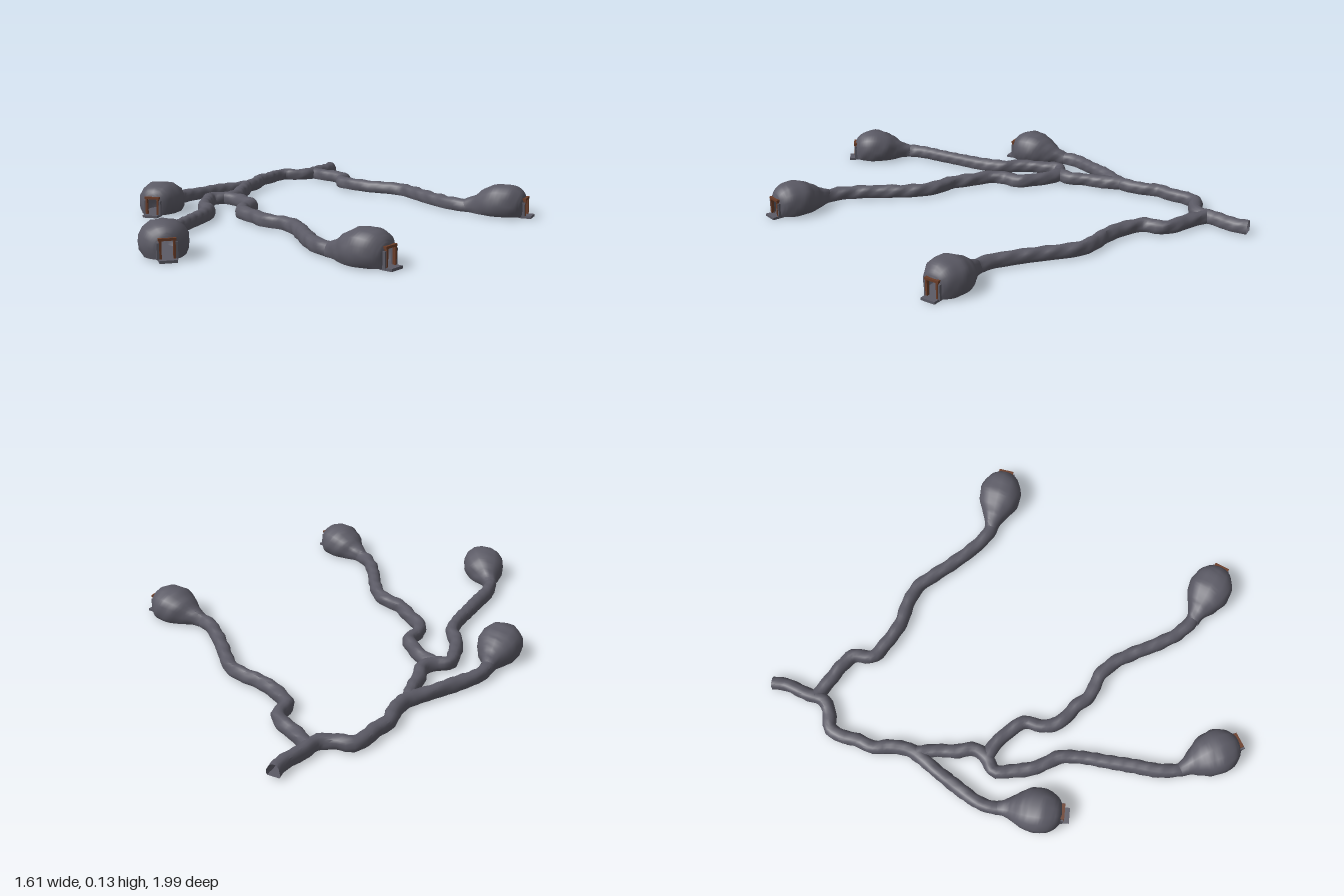
import * as THREE from 'three';
import { toCreasedNormals } from 'three/addons/utils/BufferGeometryUtils.js';

const rock = new THREE.MeshStandardMaterial({ color: 0x5b5a65, side: THREE.DoubleSide });
const wood = new THREE.MeshStandardMaterial({ color: 0x6b3d28 });

// Flat-bottomed arch section in units of half width and height
const half = [[0.84, 0], [0.97, 0.16], [1, 0.36], [0.95, 0.58], [0.8, 0.79], [0.47, 0.95]];
const arch = [...half, [0, 1], ...half.slice().reverse().map(([x, y]) => [-x, y])];
const FLOOR = 0.006;

// Small rocky unevenness
const rough = (x, y, z) =>
  Math.sin(x * 71 + z * 43 + y * 60) * 0.5 + Math.sin(z * 97 - x * 59 + y * 110) * 0.5;

// Skin arch sections along stations { x, z, dx, dz, w, h }
function loft(stations, bump) {
  const pos = [], index = [], n = arch.length;
  for (const s of stations) {
    for (const [u, v] of arch) {
      const x = s.x + s.dz * s.w * u, z = s.z - s.dx * s.w * u, y = s.h * v;
      const k = rough(x, y, z) * bump;
      pos.push(x + s.dz * u * k, FLOOR + y + v * k, z - s.dx * u * k);
    }
  }
  for (let i = 0; i < stations.length - 1; i++) {
    for (let j = 0; j < n; j++) {
      const a = i * n + j, b = i * n + (j + 1) % n;
      index.push(a, b, a + n, b, b + n, a + n);
    }
  }
  const g = new THREE.BufferGeometry();
  g.setAttribute('position', new THREE.Float32BufferAttribute(pos, 3));
  g.setIndex(index);
  return toCreasedNormals(g, 0.8);
}

function tunnel(name, points) {
  const curve = new THREE.CatmullRomCurve3(points.map(([x, z]) => new THREE.Vector3(x, 0, z)));
  const count = Math.round(curve.getLength() / 0.018);
  const stations = [];
  for (let i = 0; i <= count; i++) {
    const p = curve.getPointAt(i / count), t = curve.getTangentAt(i / count);
    stations.push({ x: p.x, z: p.z, dx: t.x, dz: t.z, w: 0.027, h: 0.049 });
  }
  const mesh = new THREE.Mesh(loft(stations, 0.003), rock);
  mesh.name = name;
  return mesh;
}

// Chamber outline along its axis: distance, half width, height
const swell = new THREE.CatmullRomCurve3([
  [-0.165, 0.027, 0.05], [-0.125, 0.037, 0.066], [-0.085, 0.063, 0.094], [-0.045, 0.083, 0.115],
  [0, 0.089, 0.124], [0.04, 0.081, 0.12], [0.07, 0.062, 0.107], [0.086, 0.042, 0.09], [0.092, 0.027, 0.074],
].map(p => new THREE.Vector3(...p)));

function chamber(name, cx, cz, dx, dz) {
  const group = new THREE.Group();
  group.name = name;
  const stations = swell.getPoints(26).map(p => (
    { x: cx + dx * p.x, z: cz + dz * p.x, dx, dz, w: p.y, h: p.z }));
  const dome = new THREE.Mesh(loft(stations, 0.003), rock);
  dome.name = 'dome';
  group.add(dome);

  // Doorway, facing +z before being turned to the chamber axis
  const door = new THREE.Group();
  door.name = 'doorway';
  const box = (part, w, h, d, x, y, z, mat) => {
    const m = new THREE.Mesh(new THREE.BoxGeometry(w, h, d), mat);
    m.position.set(x, y, z);
    m.name = part;
    door.add(m);
  };
  for (const side of [-1, 1]) {
    box('doorPost', 0.008, 0.066, 0.012, side * 0.024, 0.043, 0.094, wood);
    box('doorJamb', 0.01, 0.06, 0.02, side * 0.031, 0.036, 0.088, rock);
  }
  box('lintel', 0.062, 0.009, 0.014, 0, 0.077, 0.094, wood);
  box('doorstep', 0.062, 0.01, 0.05, 0, 0.005, 0.098, rock);
  door.position.set(cx, 0, cz);
  door.rotation.y = Math.atan2(dx, dz);
  group.add(door);
  return group;
}

export function createModel() {
  const model = new THREE.Group();
  model.name = 'burrow';

  // Branching passages, as x and z of the centre line
  model.add(
    tunnel('mainTunnel', [
      [0.06, -0.99], [0.04, -0.935], [-0.02, -0.86], [-0.06, -0.8], [-0.13, -0.785], [-0.18, -0.795],
      [-0.225, -0.755], [-0.26, -0.69], [-0.3, -0.64], [-0.315, -0.57], [-0.345, -0.5], [-0.385, -0.46],
      [-0.475, -0.395], [-0.555, -0.33], [-0.63, -0.26], [-0.66, -0.2], [-0.667, -0.175]]),
    tunnel('middleTunnel', [
      [-0.365, -0.48], [-0.375, -0.385], [-0.395, -0.315], [-0.405, -0.24], [-0.455, -0.2],
      [-0.51, -0.185], [-0.525, -0.115], [-0.535, -0.025], [-0.515, 0.08], [-0.535, 0.17],
      [-0.575, 0.265], [-0.62, 0.37], [-0.66, 0.46], [-0.675, 0.54], [-0.668, 0.58]]),
    tunnel('frontTunnel', [
      [-0.45, -0.2], [-0.405, -0.16], [-0.36, -0.08], [-0.34, -0.015], [-0.37, 0.04], [-0.375, 0.115],
      [-0.325, 0.2], [-0.29, 0.27], [-0.21, 0.34], [-0.17, 0.425], [-0.15, 0.53], [-0.13, 0.645],
      [-0.095, 0.74], [-0.06, 0.782], [-0.035, 0.805]]),
    tunnel('leftTunnel', [
      [-0.04, -0.83], [0.02, -0.755], [0.07, -0.7], [0.1, -0.645], [0.08, -0.57], [0.125, -0.5],
      [0.2, -0.425], [0.285, -0.375], [0.345, -0.32], [0.39, -0.22], [0.435, -0.115], [0.495, -0.005],
      [0.54, 0.043], [0.57, 0.06]]),
  );

  // Domed chambers: centre, then direction of the doorway
  model.add(
    chamber('rightChamber', -0.71, -0.05, -0.33, 0.944),
    chamber('middleChamber', -0.643, 0.7, 0.2, 0.98),
    chamber('frontChamber', 0.045, 0.885, 0.73, 0.683),
    chamber('leftChamber', 0.685, 0.12, 0.88, 0.475),
  );
  return model;
}
